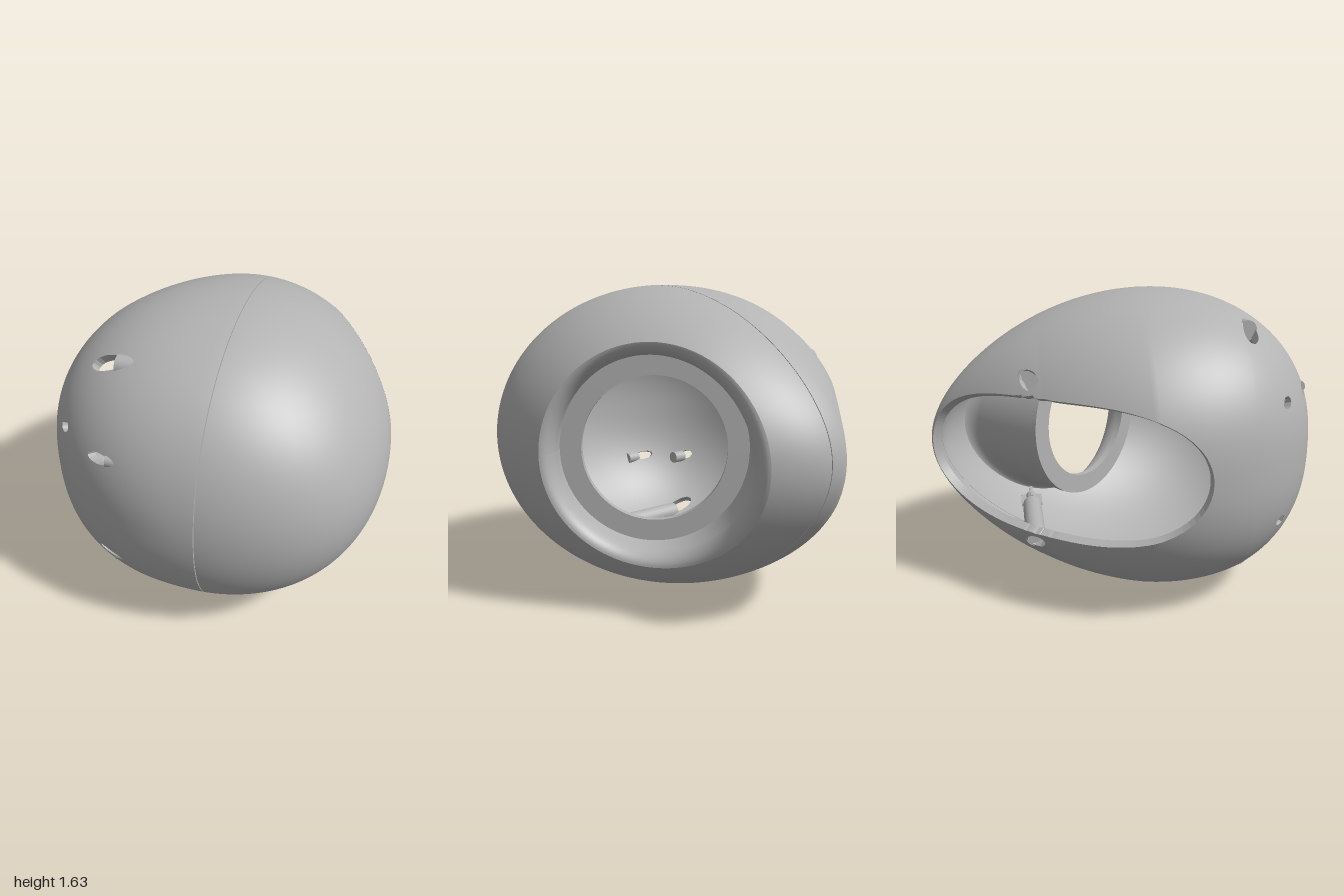
import * as THREE from 'three';

// Local frame of the egg: X across the seam plane, Y up from mid height, -Z towards the pointed end.
const SEAM_X = 0.182, MID_Y = 0.815, COS = 0.895, SIN = 0.445, WALL = 0.045;
const toWorld = (p) => [SEAM_X + COS * p.x - SIN * p.z, MID_Y + p.y, SIN * p.x + COS * p.z];

// Egg profile along its axis (t from -1 blunt to 1 pointed), sideways stretch and squareness of the section
const fullness = (t) => 0.803 - 0.13 * t - 0.06 * t ** 3;
const profile = (t) => fullness(t) * Math.sqrt(Math.max(0, 1 - t * t));
const stretch = (w, u) => {
  const front = Math.max(0, u), blunt = Math.min(0, u);
  return w > 0 ? 1.08 + 0.08 * blunt ** 2 : 1.14 - 0.18 * front - 0.33 * front ** 4;
};
const power = (w, u) => (w > 0 ? 2 : Math.min(2.4, Math.max(2, 2.2 - 0.4 * u)));
function eggField(x, y, z) {
  const t = (-z - 0.042) / 1.048, w = x + 0.07, n = power(w, -z);
  const d = (Math.abs(w / stretch(w, -z)) ** n + Math.abs(y) ** n) ** (2 / n);
  return d - fullness(t) ** 2 * (1 - t * t);
}
function eggNormal(p) {
  const e = 1e-4, { x, y, z } = p;
  return new THREE.Vector3(
    eggField(x + e, y, z) - eggField(x - e, y, z),
    eggField(x, y + e, z) - eggField(x, y - e, z),
    eggField(x, y, z + e) - eggField(x, y, z - e)).normalize();
}
function eggPoint(phi, theta) {
  const t = -Math.cos(phi), u = 0.042 + 1.048 * t, c = Math.cos(theta), s = Math.sin(theta);
  const n = power(c, u), r = profile(t) / (Math.abs(c) ** n + Math.abs(s) ** n) ** (1 / n);
  return new THREE.Vector3(r * c * stretch(c, u) - 0.07, r * s, -u);
}

// Screw positions: [u along the axis, height from the middle, hole radius]
const LONG_SCREWS = [[-0.55, 0.635, 0.045], [0.56, 0.43, 0.045]];
const SHORT_SCREWS = [[-0.688, 0.315, 0.03], [-0.87, 0.315, 0.028]];

// Round recess: its floor is a disc tilted towards the pointed end
const FLOOR = { x: 0.54, z: -0.065, r: 0.475, hole: 0.367 }, RIM_R = 0.54;
const TILT = 0.336, AX = Math.cos(TILT), AZ = Math.sin(TILT);

// Cutting rules: positive values are kept
function funnelCut(p) {
  const [x, y, z] = toWorld(p), dx = x - FLOOR.x, dz = z - FLOOR.z;
  return dx * AX - dz * AZ < 0 ? 1 : Math.hypot(y - MID_Y, dx * AZ + dz * AX) - RIM_R;
}
function backCuts(p) {
  const u = -p.z, e = (u - 0.41) / 0.67;
  let f = Math.abs(e) ** (e > 0 ? 3.5 : 2.5) + (p.y / 0.36) ** 2 - 1;
  for (const [su, sy, r] of [...LONG_SCREWS, ...SHORT_SCREWS])
    f = Math.min(f, Math.hypot(u - su, Math.abs(p.y) - sy) - r);
  return f;
}

// Keep the part of a polygon where rule > 0; report the two new corners
function clip(poly, rule) {
  const f = poly.map(rule);
  if (f.every((v) => v > 0)) return { poly, cut: [] };
  const out = [], cut = [];
  poly.forEach((p, i) => {
    const j = (i + 1) % poly.length;
    if (f[i] > 0) out.push(p);
    if ((f[i] > 0) !== (f[j] > 0)) {
      const q = p.clone().lerp(poly[j], f[i] / (f[i] - f[j]));
      out.push(q);
      cut.push(q);
    }
  });
  return { poly: out, cut };
}

// One thick half of the egg
function halfShell(rules) {
  const pos = [], nor = [], A = 120, B = 192;
  const tri = (a, b, c, na, nb, nc) => {
    const face = b.clone().sub(a).cross(c.clone().sub(a));
    if (face.dot(na) < 0) { [b, c] = [c, b]; [nb, nc] = [nc, nb]; }
    for (const p of [a, b, c]) pos.push(p.x, p.y, p.z);
    for (const n of [na, nb, nc]) nor.push(n.x, n.y, n.z);
  };
  const inset = (p) => p.clone().addScaledVector(eggNormal(p), -WALL);
  const addPolygon = (start) => {
    let poly = start;
    for (const { rule, wall } of rules) {
      const r = clip(poly, rule);
      poly = r.poly;
      if (wall && r.cut.length === 2) {
        const [a, b] = r.cut, c = inset(a), d = inset(b);
        const n = b.clone().sub(a).cross(c.clone().sub(a)).normalize();
        const mid = poly.reduce((s, p) => s.add(p), new THREE.Vector3()).divideScalar(poly.length);
        if (n.dot(mid.sub(a)) > 0) n.negate();
        tri(a, b, c, n, n, n);
        tri(b, d, c, n, n, n);
      }
      if (poly.length < 3) return;
    }
    const n = poly.map(eggNormal), inner = poly.map(inset), back = n.map((v) => v.clone().negate());
    for (let i = 1; i < poly.length - 1; i++) {
      tri(poly[0], poly[i], poly[i + 1], n[0], n[i], n[i + 1]);
      tri(inner[0], inner[i], inner[i + 1], back[0], back[i], back[i + 1]);
    }
  };
  const at = (i, j) => eggPoint((Math.PI * i) / A, (2 * Math.PI * j) / B);
  for (let i = 0; i < A; i++) for (let j = 0; j < B; j++) {
    const a = at(i, j), b = at(i + 1, j), c = at(i + 1, j + 1), d = at(i, j + 1);
    if (i < A - 1) addPolygon([a, b, c]);
    if (i > 0) addPolygon([a, c, d]);
  }
  const g = new THREE.BufferGeometry();
  g.setAttribute('position', new THREE.Float32BufferAttribute(pos, 3));
  g.setAttribute('normal', new THREE.Float32BufferAttribute(nor, 3));
  return g;
}

// Recess wall: a tilted cylinder that rolls outwards onto the egg surface
function recessPoint(r, a, depth) {
  const e = r * Math.cos(a);
  return [FLOOR.x + e * AZ + depth * AX, MID_Y + r * Math.sin(a), FLOOR.z + e * AX - depth * AZ];
}
function rimHeight(a) {
  let lo = 0, hi = 1;
  for (let i = 0; i < 30; i++) {
    const m = (lo + hi) / 2, [x, y, z] = recessPoint(RIM_R, a, m), dx = x - SEAM_X;
    if (eggField(COS * dx + SIN * z, y - MID_Y, -SIN * dx + COS * z) < 0) lo = m; else hi = m;
  }
  return lo;
}
function recessWall() {
  const pos = [], index = [], N = 96, S = 11;
  for (let s = 0; s <= S; s++) for (let j = 0; j <= N; j++) {
    const a = (2 * Math.PI * j) / N, h = rimHeight(a), roll = Math.min(0.1, h * 0.9);
    const b = ((s - 1) / (S - 1)) * Math.PI / 2;
    const r = s ? FLOOR.r + (RIM_R - FLOOR.r) * (1 - Math.cos(b)) : FLOOR.r;
    pos.push(...recessPoint(r, a, s ? h - roll + roll * Math.sin(b) : 0));
    if (s < S && j < N) {
      const k = s * (N + 1) + j, m = k + N + 1;
      index.push(k, m, k + 1, k + 1, m, m + 1);
    }
  }
  const g = new THREE.BufferGeometry();
  g.setAttribute('position', new THREE.Float32BufferAttribute(pos, 3));
  g.setIndex(index);
  g.computeVertexNormals();
  return g;
}

export function createModel() {
  const model = new THREE.Group();
  const grey = new THREE.MeshStandardMaterial({ color: 0xb3b3b3, side: THREE.DoubleSide });
  grey.name = 'plain grey';
  const add = (parent, name, geometry, x = 0, y = 0, z = 0) => {
    const m = new THREE.Mesh(geometry, grey);
    m.name = name;
    m.position.set(x, y, z);
    parent.add(m);
  };

  // Two half shells with a hairline seam
  const egg = new THREE.Group();
  egg.name = 'eggBody';
  egg.position.set(SEAM_X, MID_Y, 0);
  egg.rotation.y = -Math.atan2(SIN, COS);
  model.add(egg);
  add(egg, 'frontShell', halfShell([
    { rule: (p) => p.x - 0.002, wall: true }, { rule: funnelCut, wall: false }]));
  add(egg, 'backShell', halfShell([
    { rule: (p) => -0.002 - p.x, wall: true }, { rule: backCuts, wall: true }]));

  // Screw bosses inside, mirrored top and bottom
  const rod = (name, r, x0, x1, y, z) =>
    add(egg, name, new THREE.CylinderGeometry(r, r, x1 - x0, 24).rotateZ(Math.PI / 2), (x0 + x1) / 2, y, z);
  const wallX = (u, h, side) => {
    const n = power(side, u), r = profile((u - 0.042) / 1.048);
    return side * Math.max(0, r ** n - h ** n) ** (1 / n) * stretch(side, u) - 0.07;
  };
  for (const side of [1, -1]) {
    for (const [u, h, r] of LONG_SCREWS) {
      const y = h * side, end = u > 0 ? 0.1 : wallX(u - 0.06, h + 0.06, 1) - 0.05;
      rod('screwBoss', r + 0.008, wallX(u, h, -1) + 0.06, -0.04, y, -u);
      rod('bossCore', 0.03, -0.04, end, y, -u);
      add(egg, 'bossRib', new THREE.BoxGeometry(end + 0.04, 0.12, 0.016), (end - 0.04) / 2, y, -u);
      add(egg, 'bossRib', new THREE.BoxGeometry(end + 0.04, 0.016, 0.12), (end - 0.04) / 2, y, -u);
    }
    for (const [u, h, r] of SHORT_SCREWS) {
      const start = wallX(u, h, -1) + 0.05;
      rod('shortBoss', r + 0.006, start, start + 0.08, h * side, -u);
    }
  }

  // Round recess with a tilted ring-shaped floor
  add(model, 'recessWall', recessWall());
  const ring = new THREE.Shape().absarc(0, 0, FLOOR.r + 0.004, 0, Math.PI * 2);
  ring.holes.push(new THREE.Path().absarc(0, 0, FLOOR.hole, 0, Math.PI * 2, true));
  const plate = new THREE.ExtrudeGeometry(ring, { depth: 0.04, bevelEnabled: false, curveSegments: 64 });
  plate.rotateY(Math.PI / 2 + TILT);
  add(model, 'recessFloor', plate, FLOOR.x - 0.04 * AX, MID_Y, FLOOR.z + 0.04 * AZ);
  return model;
}
